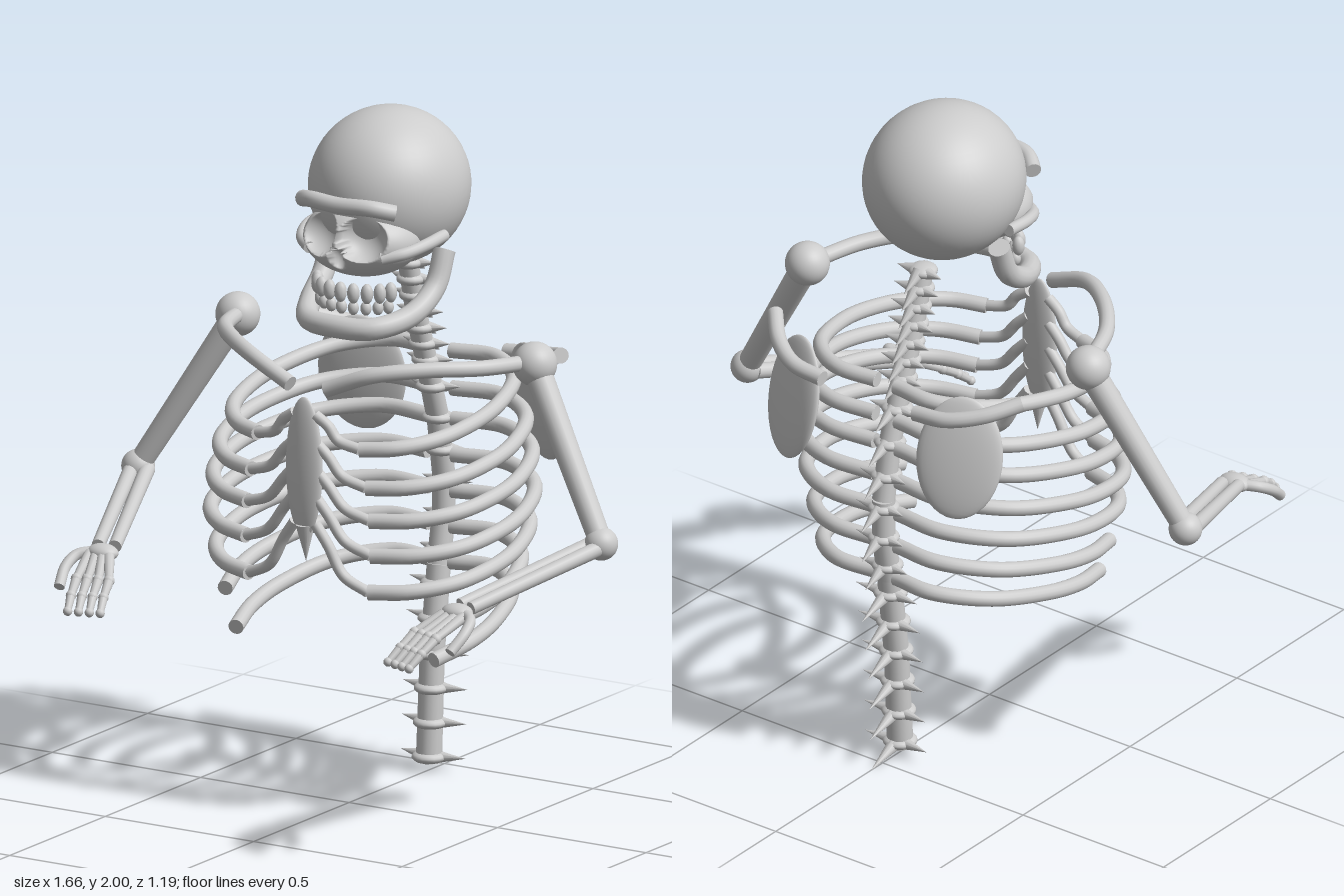
import * as THREE from 'three';

const bone = new THREE.MeshStandardMaterial({ color: 0xcccccc });
bone.name = 'boneGrey';
const V = (p) => new THREE.Vector3(...p);
const lerp = THREE.MathUtils.lerp;

function add(parent, name, geometry) {
  const m = new THREE.Mesh(geometry, bone);
  m.name = name;
  parent.add(m);
  return m;
}

// Ellipsoid with radii r centred on p
function blob(parent, name, p, r, seg = 32) {
  const m = add(parent, name, new THREE.SphereGeometry(1, seg, Math.ceil(seg * 0.6)));
  m.position.set(...p);
  m.scale.set(...r);
  return m;
}

// Straight tapered shaft from a to b (r1 = 0 makes a spike)
function shaft(parent, name, a, b, r0, r1, seg = 16) {
  const A = V(a), B = V(b), d = B.clone().sub(A);
  const m = add(parent, name, new THREE.CylinderGeometry(r1, r0, d.length(), seg));
  m.position.copy(A).add(B).multiplyScalar(0.5);
  m.quaternion.setFromUnitVectors(new THREE.Vector3(0, 1, 0), d.normalize());
}

// Curved tube through points, closed with flat ends
function tube(parent, name, pts, r, seg = 36) {
  const g = new THREE.Group();
  g.name = name;
  const curve = new THREE.CatmullRomCurve3(pts.map(V));
  add(g, name + 'Shaft', new THREE.TubeGeometry(curve, seg, r, 14));
  for (const t of [0, 1]) {
    const cap = add(g, name + 'End', new THREE.CircleGeometry(r, 14));
    const dir = curve.getTangent(t).multiplyScalar(t ? 1 : -1);
    cap.position.copy(curve.getPoint(t));
    cap.quaternion.setFromUnitVectors(new THREE.Vector3(0, 0, 1), dir);
  }
  parent.add(g);
}

// Face ellipsoid with eye sockets and nose opening pressed into its front
function faceGeometry() {
  const geo = new THREE.SphereGeometry(1, 160, 110);
  geo.scale(0.175, 0.108, 0.15).translate(0, 1.65, -0.07);
  const hollows = [ // x, y, z, radius x, y, depth
    [-0.079, 1.683, 0.055, 0.074, 0.069, 0.068],
    [0.079, 1.683, 0.055, 0.074, 0.069, 0.068],
    [0, 1.612, 0.07, 0.026, 0.04, 0.04],
  ];
  const pos = geo.attributes.position;
  for (let i = 0; i < pos.count; i++) {
    if (pos.getZ(i) < -0.07) continue;
    for (const [x, y, z, rx, ry, depth] of hollows) {
      const d = ((pos.getX(i) - x) / rx) ** 2 + ((pos.getY(i) - y) / ry) ** 2;
      if (d < 1) pos.setZ(i, Math.min(pos.getZ(i), z - depth * Math.sqrt(1 - d)));
    }
  }
  geo.computeVertexNormals();
  return geo;
}

function buildHead() {
  const g = new THREE.Group();
  g.name = 'head';
  blob(g, 'cranium', [0, 1.772, -0.212], [0.228, 0.228, 0.242], 48);
  add(g, 'face', faceGeometry());
  tube(g, 'brow', [[-0.155, 1.757, 0.0], [-0.1, 1.772, 0.042], [0, 1.771, 0.057],
    [0.1, 1.772, 0.042], [0.155, 1.757, 0.0]], 0.024);
  tube(g, 'jaw', [[-0.19, 1.61, -0.205], [-0.186, 1.51, -0.16], [-0.168, 1.445, -0.06], [-0.105, 1.42, 0.045],
    [0, 1.418, 0.07], [0.105, 1.42, 0.045], [0.168, 1.445, -0.06], [0.186, 1.51, -0.16], [0.19, 1.61, -0.205]], 0.032, 64);
  for (const s of [-1, 1])
    tube(g, 'cheekbone', [[s * 0.205, 1.66, -0.18], [s * 0.2, 1.65, -0.09],
      [s * 0.17, 1.635, -0.02], [s * 0.12, 1.622, 0.02]], 0.018);
  // Two arched rows of teeth
  for (let i = 0; i < 9; i++) {
    const a = lerp(-1.25, 1.25, i / 8), x = Math.sin(a), z = Math.cos(a);
    blob(g, 'upperTooth', [0.13 * x, 1.515, -0.06 + 0.105 * z], [0.018, 0.03, 0.018], 12);
    blob(g, 'lowerTooth', [0.12 * x, 1.471, -0.06 + 0.1 * z], [0.016, 0.021, 0.016], 12);
  }
  return g;
}

function buildSpine() {
  const g = new THREE.Group();
  g.name = 'spine';
  const path = [[1.52, -0.31], [1.37, -0.35], [1.21, -0.405], [1.03, -0.465], [0.86, -0.495],
    [0.74, -0.495], [0.6, -0.47], [0.335, -0.435], [0.03, -0.418]];
  const zAt = (y) => {
    const i = Math.max(1, path.findIndex((p) => p[0] <= y));
    const [a, b] = [path[i - 1], path[i]];
    return lerp(a[1], b[1], (y - a[0]) / (b[0] - a[0]));
  };
  const r = (y) => lerp(0.038, 0.03, y / 1.52);
  for (let i = 1; i < path.length; i++) {
    const [a, b] = [path[i - 1], path[i]];
    shaft(g, 'spinalColumn', [0, a[0], a[1]], [0, b[0], b[1]], r(a[0]), r(b[0]));
  }
  // Vertebrae: height, disc radius, side reach, back reach
  const levels = [];
  for (let i = 0; i < 6; i++) levels.push([0.045 + i * 0.1, 0.05, 0.11, 0.135]);
  for (let i = 0; i < 6; i++) levels.push([0.64 + i * 0.098, 0.046, 0.085, 0.105]);
  for (let i = 0; i < 7; i++) levels.push([1.215 + i * 0.051, 0.042, 0.08, 0.09]);
  for (const [y, disc, side, back] of levels) {
    const z = zAt(y);
    blob(g, 'vertebra', [0, y, z], [disc, 0.02, disc], 18);
    shaft(g, 'spinousProcess', [0, y, z - 0.02], [0, y - 0.04, z - back], 0.022, 0, 10);
    for (const s of [-1, 1])
      shaft(g, 'transverseProcess', [s * 0.025, y, z - 0.01], [s * side, y + 0.004, z - 0.02], 0.018, 0, 10);
  }
  return g;
}

function buildRibCage() {
  const g = new THREE.Group();
  g.name = 'ribCage';
  blob(g, 'sternum', [0, 1.045, 0.235], [0.06, 0.205, 0.022]);
  shaft(g, 'sternumTip', [0, 0.875, 0.23], [0, 0.765, 0.225], 0.028, 0);
  // Half width, back height, front height, height at the sternum
  const ribs = [[0.38, 1.23, 1.115, 1.2], [0.43, 1.12, 1.005, 1.12], [0.455, 1.03, 0.91, 1.04], [0.465, 0.925, 0.808, 0.96],
    [0.445, 0.82, 0.7, 0.88], [0.41, 0.715, 0.57], [0.37, 0.61, 0.46]];
  // Outline from spine to front: fraction of half width, depth
  const outline = [[0.09, -0.48], [0.45, -0.49], [0.8, -0.39], [0.98, -0.2], [0.99, -0.06], [0.9, 0.075], [0.7, 0.17], [0.45, 0.212]];
  for (const s of [-1, 1]) for (const [w, yb, yf, ys] of ribs) {
    const pts = (ys ? outline : outline.slice(0, 6))
      .map(([f, z]) => [s * f * w, lerp(yb, yf, (z + 0.49) / 0.7), z]);
    tube(g, ys ? 'rib' : 'floatingRib', pts, 0.0225, 48);
    if (ys) {
      const e = 0.45 * w;
      tube(g, 'costalCartilage', [[s * e, yf, 0.212], [s * (e * 0.62), lerp(yf, ys, 0.22), 0.222],
        [s * 0.075, lerp(yf, ys, 0.68), 0.226], [s * 0.035, ys, 0.23]], 0.016, 20);
    }
  }
  return g;
}

function buildArm(s) {
  const g = new THREE.Group();
  g.name = s > 0 ? 'leftArm' : 'rightArm';
  const P = (x, y, z) => [s * x, y, z];
  // Shoulder girdle
  tube(g, 'collarbone', [P(0.49, 1.328, -0.18), P(0.43, 1.338, -0.02), P(0.33, 1.345, 0.1),
    P(0.2, 1.33, 0.19), P(0.06, 1.275, 0.215)], 0.023);
  const blade = blob(g, 'shoulderBlade', P(0.295, 1.107, -0.527), [0.126, 0.182, 0.026]);
  blade.rotation.set(0.22, s * -0.4, s * -0.06, 'YXZ');
  tube(g, 'bladeRidge', [P(0.165, 1.225, -0.565), P(0.27, 1.235, -0.56), P(0.36, 1.255, -0.51), P(0.44, 1.285, -0.425)], 0.023);
  blob(g, 'shoulderJoint', P(0.5, 1.322, -0.195), [0.064, 0.064, 0.064]);
  // Arm bones
  shaft(g, 'upperArm', P(0.5, 1.322, -0.195), P(0.78, 0.855, -0.108), 0.04, 0.033, 20);
  blob(g, 'elbowJoint', P(0.78, 0.855, -0.108), [0.048, 0.048, 0.048]);
  for (const o of [-1, 1])
    shaft(g, 'forearm', P(0.77 + o * 0.021, 0.85, -0.1 + o * 0.008), P(0.605 + o * 0.023, 0.745, 0.33 + o * 0.008), 0.023, 0.019);
  blob(g, 'wrist', P(0.597, 0.735, 0.362), [0.048, 0.025, 0.036]);
  // Hand
  tube(g, 'thumb', [P(0.625, 0.735, 0.365), P(0.662, 0.727, 0.395), P(0.672, 0.7, 0.44), P(0.658, 0.655, 0.495)], 0.016, 16);
  for (let i = 0; i < 4; i++) {
    const joints = [
      P(0.63 - i * 0.022, 0.73, 0.38),
      P(0.605 - i * 0.03, 0.685, 0.487 - i * 0.01),
      P(0.59 - i * 0.03, 0.65, 0.539 - i * 0.01),
      P(0.575 - i * 0.03, 0.615, 0.58 - i * 0.01),
    ];
    for (let j = 0; j < 3; j++) {
      const r = 0.0165 - j * 0.0015;
      shaft(g, 'fingerBone', joints[j], joints[j + 1], r, r * 0.75, 10);
      blob(g, 'knuckle', joints[j + 1], [r, r, r], 12);
    }
  }
  return g;
}

export function createModel() {
  const model = new THREE.Group();
  model.name = 'skeletonBust';
  model.add(buildHead(), buildSpine(), buildRibCage(), buildArm(1), buildArm(-1));
  return model;
}
